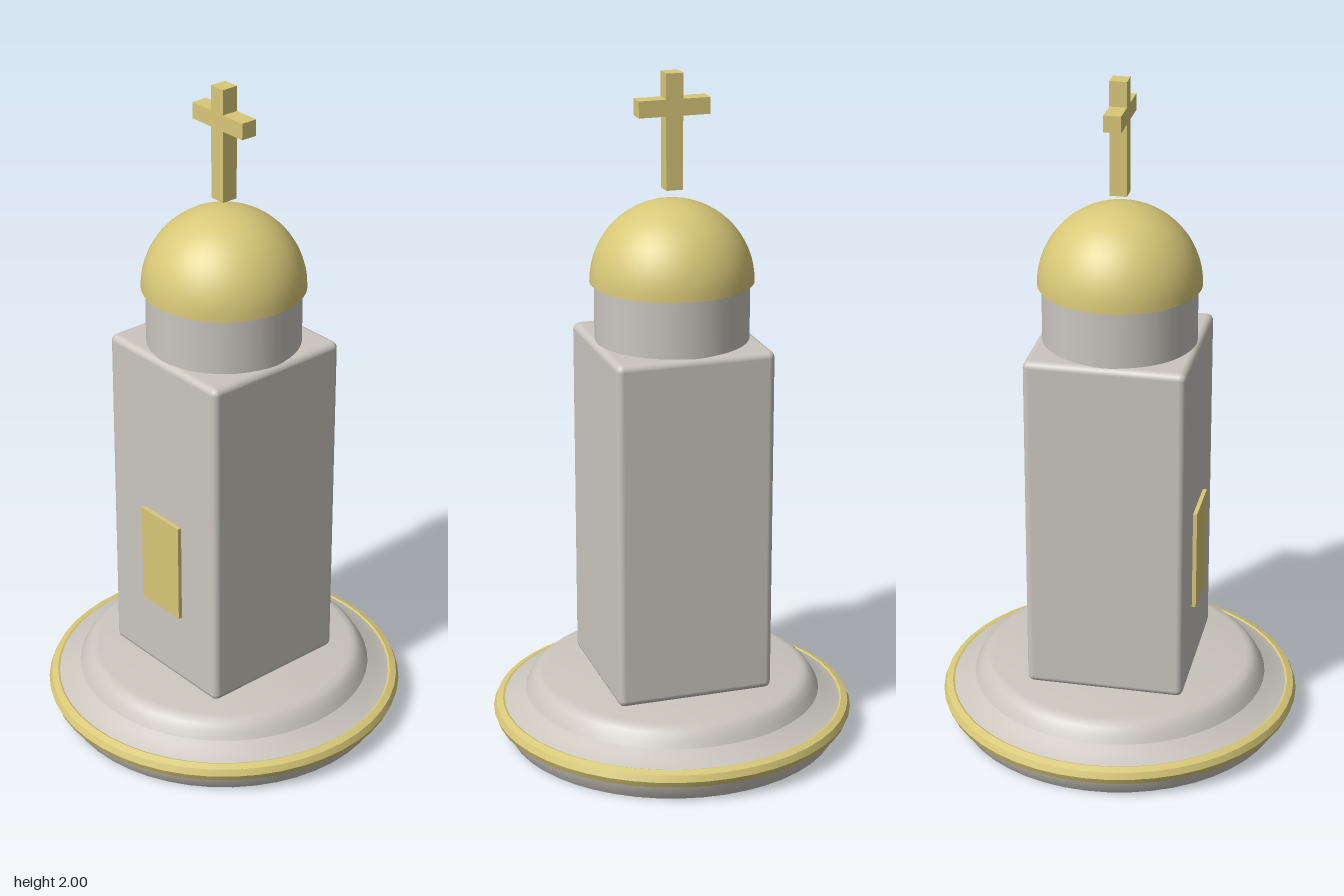
import * as THREE from 'three';
import { RoundedBoxGeometry } from 'three/addons/geometries/RoundedBoxGeometry.js';
import { toCreasedNormals } from 'three/addons/utils/BufferGeometryUtils.js';

export function createModel() {
  const model = new THREE.Group();
  const stone = new THREE.MeshStandardMaterial({ color: 0xcac6be });
  stone.name = 'pale stone';
  const gold = new THREE.MeshStandardMaterial({ color: 0xd8c878 });
  gold.name = 'gold';

  function add(name, geometry, material, x = 0, y = 0, z = 0, parent = model) {
    const mesh = new THREE.Mesh(geometry, material);
    mesh.name = name;
    mesh.position.set(x, y, z);
    parent.add(mesh);
    return mesh;
  }
  const lathe = (points, segments, crease) => toCreasedNormals(
    new THREE.LatheGeometry(points.map(([r, y]) => new THREE.Vector2(r, y)), segments), crease);

  // Stepped round plinth with a gold moulding around its rim
  add('plinth', lathe([
    [0, 0], [0.495, 0], [0.522, 0.045], [0.525, 0.07], [0.515, 0.095], [0.495, 0.102],
    [0.465, 0.118], [0.443, 0.13], [0.432, 0.15], [0.418, 0.17], [0.404, 0.181], [0.387, 0.185], [0, 0.185],
  ], 48, 0.55), stone);
  const ring = toCreasedNormals(new THREE.TorusGeometry(0.513, 0.027, 8, 48), 0.5);
  add('plinthRing', ring.rotateX(Math.PI / 2), gold, 0, 0.073);

  // Square tower with softened edges
  add('tower', new RoundedBoxGeometry(0.47, 1.045, 0.47, 3, 0.02), stone, 0, 0.7075);

  // Door plate on the front
  add('door', new THREE.BoxGeometry(0.166, 0.31, 0.014), gold, 0, 0.566, 0.24);

  // Drum and closed hemispherical dome
  add('drum', new THREE.CylinderGeometry(0.224, 0.224, 0.185, 48), stone, 0, 1.3125);
  const domeProfile = [[0, 0]];
  for (let i = 0; i <= 16; i++) {
    const a = (i / 16) * Math.PI / 2;
    domeProfile.push([0.237 * Math.cos(a), 0.237 * Math.sin(a)]);
  }
  add('dome', lathe(domeProfile, 48, 0.8), gold, 0, 1.398);

  // Cross, standing just clear of the dome
  const cross = new THREE.Group();
  cross.name = 'cross';
  model.add(cross);
  add('crossPost', new THREE.BoxGeometry(0.05, 0.333, 0.05), gold, 0, 1.8335, 0, cross);
  for (const side of [-1, 1]) {
    add(side > 0 ? 'crossArmLeft' : 'crossArmRight',
      new THREE.BoxGeometry(0.08, 0.048, 0.05), gold, side * 0.065, 1.903, 0, cross);
  }
  return model;
}
